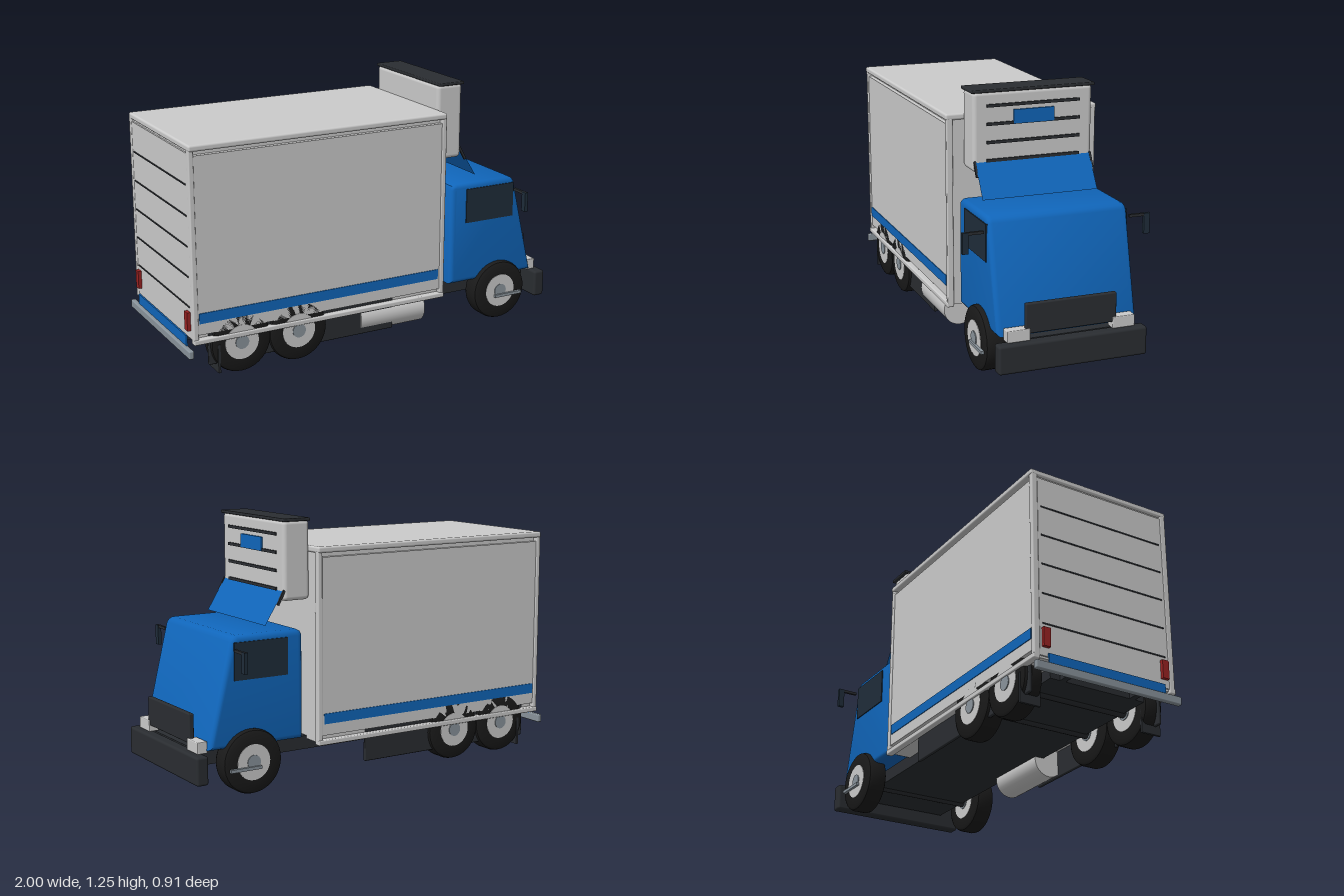
import * as THREE from 'three';
import { toCreasedNormals } from 'three/addons/utils/BufferGeometryUtils.js';
import { RoundedBoxGeometry } from 'three/addons/geometries/RoundedBoxGeometry.js';

const mat = (color, side = THREE.FrontSide) => new THREE.MeshStandardMaterial({ color, side });

export function createModel() {
  const truck = new THREE.Group();
  truck.name = 'truck';
  const grey = mat(0xcccccc), blue = mat(0x1066bb), dark = mat(0x2a2d31), tyreMat = mat(0x1a1a1a);
  const glass = mat(0x1f2d3a), red = mat(0x992222), steel = mat(0x8a949c);

  const add = (name, geometry, material, x = 0, y = 0, z = 0) => {
    const mesh = new THREE.Mesh(geometry, material);
    mesh.name = name;
    mesh.position.set(x, y, z);
    truck.add(mesh);
    return mesh;
  };
  // Box given by its limits on each axis, optionally with rounded edges
  const box = (name, material, [x0, x1], [y0, y1], [z0, z1], r = 0) => {
    const s = [x1 - x0, y1 - y0, z1 - z0];
    const g = r ? new RoundedBoxGeometry(...s, 3, r) : new THREE.BoxGeometry(...s);
    return add(name, g, material, (x0 + x1) / 2, (y0 + y1) / 2, (z0 + z1) / 2);
  };
  // The same box on both sides of the truck
  const pair = (name, material, x, y, [z0, z1], r = 0) => {
    box(name + 'Left', material, x, y, [z0, z1], r);
    box(name + 'Right', material, x, y, [-z1, -z0], r);
  };

  // Chassis
  box('chassis', dark, [-0.9, 0.93], [0.14, 0.205], [-0.25, 0.25]);

  // Cargo body
  box('cargoBody', grey, [-0.96, 0.36], [0.19, 1.1], [-0.348, 0.348]);
  pair('sidePanel', grey, [-0.95, 0.35], [0.225, 1.07], [0.34, 0.37]);
  pair('sideStripe', blue, [-0.94, 0.335], [0.28, 0.33], [0.365, 0.374]);
  box('roof', grey, [-0.97, 0.37], [1.09, 1.12], [-0.38, 0.38], 0.01);
  pair('bottomRail', grey, [-0.97, 0.37], [0.18, 0.205], [0.345, 0.38], 0.006);
  for (const x of [-0.97, 0.345]) pair('cornerPost', grey, [x, x + 0.025], [0.19, 1.1], [0.345, 0.376], 0.006);

  // Roller door and tail fittings
  box('rearDoor', grey, [-0.968, -0.955], [0.2, 1.08], [-0.345, 0.345]);
  for (let i = 0; i < 5; i++) {
    const y = 0.35 + i * 0.145;
    box('doorSeam', dark, [-0.971, -0.96], [y, y + 0.007], [-0.33, 0.33]);
  }
  pair('tailLight', red, [-0.985, -0.965], [0.24, 0.33], [0.3, 0.335]);
  box('tailPlate', blue, [-0.984, -0.976], [0.15, 0.21], [-0.31, 0.31]);
  box('rearBumper', steel, [-1, -0.975], [0.12, 0.16], [-0.385, 0.385], 0.006);
  pair('bumperBracket', dark, [-0.98, -0.88], [0.14, 0.17], [0.17, 0.2]);
  pair('mudFlap', dark, [-0.852, -0.84], [0.02, 0.16], [0.27, 0.373]);

  // Side skirts and fuel tank
  pair('sideSkirt', dark, [-0.89, 0.09], [0.06, 0.225], [0.335, 0.352], 0.005);
  const tank = add('fuelTank', new THREE.CylinderGeometry(0.08, 0.08, 0.36, 32), grey, 0.09, 0.13, 0.282);
  tank.rotation.z = Math.PI / 2;

  // Wheels: lathed tyre, rim disc and hub cap
  const tyreProfile = [[0.08, -0.05], [0.135, -0.05], [0.147, -0.043], [0.152, -0.03], [0.152, 0.03],
    [0.147, 0.043], [0.135, 0.05], [0.08, 0.05]].map(([r, h]) => new THREE.Vector2(r, h));
  const tyreGeo = toCreasedNormals(new THREE.LatheGeometry(tyreProfile, 40), 0.6);
  const rimGeo = new THREE.CylinderGeometry(0.085, 0.085, 0.104, 32);
  const capGeo = new THREE.CylinderGeometry(0.034, 0.034, 0.112, 24);
  for (const x of [0.715, -0.435, -0.73]) {
    for (const side of [1, -1]) {
      for (const [name, g, m] of [['tyre', tyreGeo, tyreMat], ['rim', rimGeo, grey], ['hubCap', capGeo, steel]]) {
        add(name, g, m, x, 0.153, side * 0.32).rotation.x = Math.PI / 2;
      }
    }
    add('axle', new THREE.CylinderGeometry(0.025, 0.025, 0.6, 12), dark, x, 0.153, 0).rotation.x = Math.PI / 2;
  }

  // Cab: sloped-nose side profile extruded across with a soft bevel
  const b = 0.025;
  const profile = new THREE.Shape([[0.455, 0.245], [0.898, 0.245], [0.784, 0.703], [0.778, 0.711], [0.77, 0.715],
    [0.464, 0.715], [0.458, 0.712], [0.455, 0.706]].map(([x, y]) => new THREE.Vector2(x, y)));
  const cabGeo = new THREE.ExtrudeGeometry(profile, {
    depth: 0.68 - 2 * b, bevelSize: b, bevelThickness: b, bevelSegments: 4,
  });
  add('cab', toCreasedNormals(cabGeo, 0.6), blue, 0, 0, -0.34 + b);
  pair('sideWindow', glass, [0.515, 0.795], [0.535, 0.71], [0.33, 0.345]);
  pair('cabStep', steel, [0.68, 0.84], [0.12, 0.135], [0.35, 0.385]);

  // Nose: grille, headlights and bumper
  box('grille', dark, [0.94, 0.965], [0.24, 0.38], [-0.22, 0.22], 0.006);
  pair('headlight', grey, [0.92, 0.97], [0.21, 0.265], [0.2, 0.31], 0.004);
  box('frontBumper', dark, [0.94, 1], [0.075, 0.21], [-0.36, 0.36], 0.012);

  // Mirrors
  pair('mirrorArm', dark, [0.79, 0.803], [0.67, 0.683], [0.355, 0.455]);
  pair('mirror', glass, [0.788, 0.805], [0.585, 0.683], [0.428, 0.457]);

  // Cooling unit on the front wall of the cargo body
  box('coolingUnit', grey, [0.365, 0.505], [0.867, 1.24], [-0.295, 0.295], 0.02);
  box('coolingLid', dark, [0.367, 0.51], [1.235, 1.25], [-0.305, 0.305], 0.005);
  for (const y of [0.92, 1.005, 1.09, 1.175]) {
    box('ventSlat', dark, [0.495, 0.512], [y - 0.007, y + 0.007], [-0.23, 0.23]);
  }
  box('unitBadgePanel', blue, [0.495, 0.514], [1.085, 1.15], [-0.1, 0.1]);

  // Wind deflector: a thin sloping sheet with side struts
  const slope = Math.atan2(0.1, 0.16);
  const sheet = add('windDeflector', new THREE.PlaneGeometry(0.57, 0.189), mat(0x1066bb, THREE.DoubleSide), 0.55, 0.842, 0);
  sheet.rotation.set(0, Math.PI / 2, 0);
  sheet.rotateX(-slope);
  for (const side of [1, -1]) {
    const strut = add('deflectorStrut', new THREE.BoxGeometry(0.012, 0.075, 0.01), dark, 0.517, 0.885, side * 0.287);
    strut.rotation.z = 0.5;
  }
  return truck;
}
